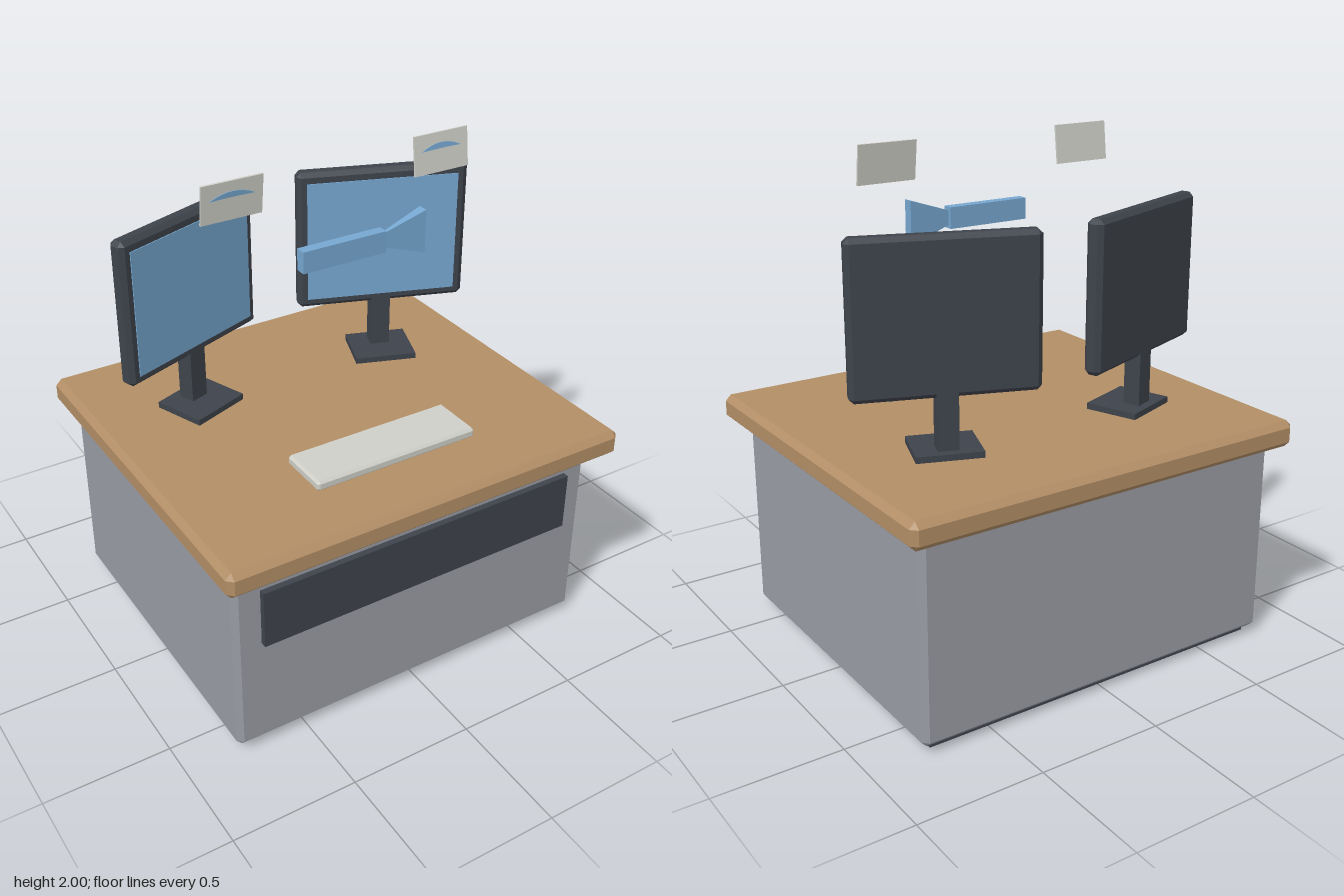
import * as THREE from 'three';
import { ConvexGeometry } from 'three/addons/geometries/ConvexGeometry.js';

const paint = (name, color) => {
  const m = new THREE.MeshStandardMaterial({ color });
  m.name = name;
  return m;
};

// Box whose twelve edges are cut at 45 degrees by b
function chamferBox(w, h, d, b) {
  const pts = [];
  for (const x of [-1, 1]) for (const y of [-1, 1]) for (const z of [-1, 1]) {
    const X = x * w / 2, Y = y * h / 2, Z = z * d / 2;
    pts.push(
      new THREE.Vector3(X, Y - y * b, Z - z * b),
      new THREE.Vector3(X - x * b, Y, Z - z * b),
      new THREE.Vector3(X - x * b, Y - y * b, Z));
  }
  return new ConvexGeometry(pts);
}

const box = (w, h, d) => new THREE.BoxGeometry(w, h, d);

function add(parent, name, geometry, material, x, y, z) {
  const mesh = new THREE.Mesh(geometry, material);
  mesh.name = name;
  mesh.position.set(x, y, z);
  parent.add(mesh);
  return mesh;
}

function addGroup(parent, name, x, y, z) {
  const g = new THREE.Group();
  g.name = name;
  g.position.set(x, y, z);
  parent.add(g);
  return g;
}

export function createModel() {
  const root = new THREE.Group();
  root.name = 'workstationDesk';
  const wood = paint('wood', 0xb28e66);
  const grey = paint('cabinetGrey', 0x989ba3);
  const dark = paint('darkPlastic', 0x3e434b);
  const blue = paint('screenBlue', 0x75a6cf);
  const pale = paint('paleGrey', 0xcfcfc8);

  // Desk
  add(root, 'plinth', box(1.49, 0.05, 1.275), dark, 0, 0.025, -0.022);
  add(root, 'cabinet', chamferBox(1.58, 0.8, 1.36, 0.022), grey, 0, 0.425, -0.02);
  add(root, 'frontPanel', box(1.365, 0.24, 0.035), dark, 0, 0.61, 0.6675);
  add(root, 'tabletop', chamferBox(1.71, 0.107, 1.53, 0.024), wood, 0, 0.872, 0);

  // Keyboard
  add(root, 'keyboard', chamferBox(0.7, 0.042, 0.217, 0.01), pale, 0, 0.945, 0.394);

  // Two monitors turned in towards the middle
  for (const s of [-1, 1]) {
    const monitor = addGroup(root, s > 0 ? 'leftMonitor' : 'rightMonitor', s * 0.441, 0, -0.305);
    monitor.rotation.y = -s * 0.35;
    add(monitor, 'foot', box(0.255, 0.026, 0.22), dark, 0, 0.937, 0.04);
    add(monitor, 'neck', box(0.08, 0.25, 0.07), dark, 0, 1.06, 0);
    add(monitor, 'housing', chamferBox(0.7, 0.59, 0.07, 0.018), dark, 0, 1.445, 0);
    add(monitor, 'screen', box(0.62, 0.508, 0.008), blue, 0, 1.443, 0.035);
  }

  // Floating arrow: bar and flared square pyramid
  const arrow = addGroup(root, 'floatingArrow', 0, 1.674, 0.173);
  add(arrow, 'bar', box(0.35, 0.084, 0.043), blue, -0.045, 0, 0);
  const flare = new THREE.ConeGeometry(0.086 * Math.SQRT2, 0.26, 4, 1).toNonIndexed();
  flare.rotateY(Math.PI / 4).rotateZ(Math.PI / 2).scale(1, 1, 0.24);
  flare.computeVertexNormals();
  add(arrow, 'flare', flare, blue, 0.175, 0, 0);

  // Floating cards, tilted opposite ways, each with a curved mark
  const arc = new THREE.Shape();
  arc.moveTo(-0.088, 0);
  arc.quadraticCurveTo(0, 0.048, 0.088, 0);
  arc.quadraticCurveTo(0, 0.004, -0.088, 0);
  const arcGeometry = new THREE.ExtrudeGeometry(arc, { depth: 0.003, bevelEnabled: false, curveSegments: 8 });
  for (const s of [-1, 1]) {
    const card = addGroup(root, s > 0 ? 'leftCard' : 'rightCard', s * 0.438, 1.925, 0.087);
    card.rotation.x = -s * 0.12;
    add(card, 'plate', box(0.24, 0.15, 0.008), pale, 0, 0, 0);
    add(card, 'curvedMark', arcGeometry, blue, 0, 0.012, 0.004);
  }
  return root;
}
